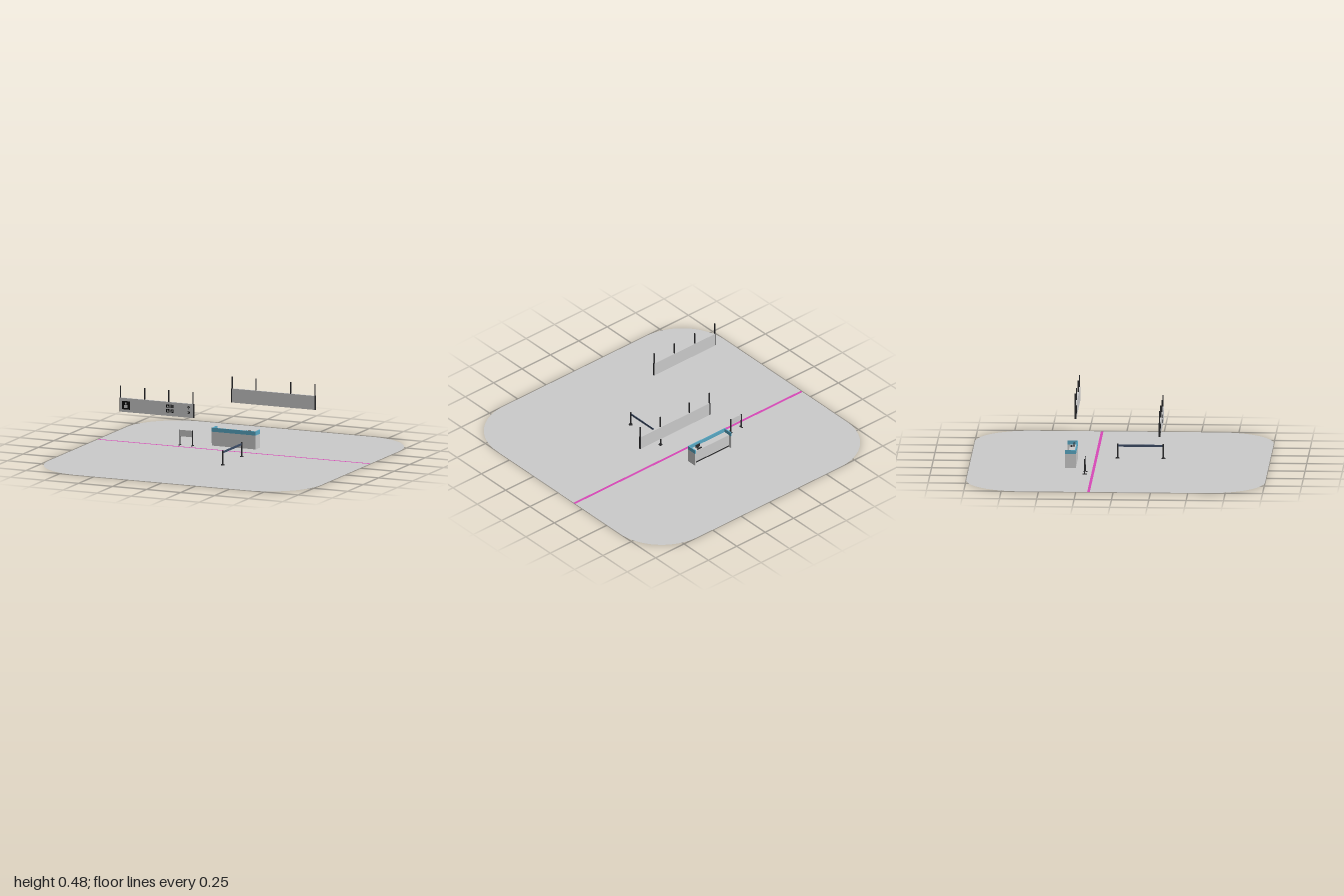
import * as THREE from 'three';

const mat = (color) => new THREE.MeshStandardMaterial({ color });
const grey = mat(0xcccccc);
const frontFloor = mat(0xbcbcbc);
const dark = mat(0x2a2a2c);
const black = mat(0x0c0c0c);
const blue = mat(0x58a8c4);
const belt = mat(0x3c4c66);
const pink = mat(0xd848b8);
for (const m of [grey, frontFloor, pink]) m.side = THREE.DoubleSide;

function add(parent, name, geometry, material, x = 0, y = 0, z = 0) {
  const mesh = new THREE.Mesh(geometry, material);
  mesh.name = name;
  mesh.position.set(x, y, z);
  parent.add(mesh);
  return mesh;
}

// Box given by its minimum and maximum on each axis
function box(parent, name, material, [x0, x1], [y0, y1], [z0, z1]) {
  return add(parent, name, new THREE.BoxGeometry(x1 - x0, y1 - y0, z1 - z0), material,
    (x0 + x1) / 2, (y0 + y1) / 2, (z0 + z1) / 2);
}

function group(parent, name) {
  const g = new THREE.Group();
  g.name = name;
  parent.add(g);
  return g;
}

// Half of the floor: straight along the line, rounded at the two outer corners
function floorHalf(parent, name, material, edge, dir) {
  const r = 0.37;
  const s = new THREE.Shape();
  s.moveTo(-1, edge);
  s.lineTo(-1, dir * (1 - r));
  s.absarc(-1 + r, dir * (1 - r), r, Math.PI, dir * Math.PI / 2, dir > 0);
  s.lineTo(1 - r, dir);
  s.absarc(1 - r, dir * (1 - r), r, dir * Math.PI / 2, 0, dir > 0);
  s.lineTo(1, edge);
  add(parent, name, new THREE.ShapeGeometry(s, 24).rotateX(-Math.PI / 2), material);
}

// Overhead panel hung from thin rods
function hangingSign(parent, name, x0, x1, z, rods) {
  const g = group(parent, name);
  box(g, 'signPanel', grey, [x0, x1], [0.305, 0.4], [z - 0.006, z + 0.006]);
  for (const x of rods) box(g, 'hangingRod', dark, [x - 0.003, x + 0.003], [0.4, 0.48], [z - 0.004, z + 0.004]);
  for (const x of [x0, x1]) box(g, 'endTrim', dark, [x - 0.003, x + 0.003], [0.305, 0.4], [z - 0.0065, z + 0.0065]);
  return g;
}

function arrow(parent, x, y, z, angle) {
  const s = new THREE.Shape();
  [[-0.002, -0.012], [0.002, -0.012], [0.002, 0.004], [0.009, -0.002], [0.011, 0.002],
    [0, 0.012], [-0.011, 0.002], [-0.009, -0.002], [-0.002, 0.004]]
    .forEach(([a, b], i) => (i ? s.lineTo(a, b) : s.moveTo(a, b)));
  add(parent, 'arrow', new THREE.ShapeGeometry(s), black, x, y, z).rotation.z = angle;
}

export function createModel() {
  const model = new THREE.Group();
  model.name = 'checkpointHall';

  // Floor in two zones with a coloured line between them
  floorHalf(model, 'backFloor', grey, 0.174, 1);
  floorHalf(model, 'frontFloor', frontFloor, 0.156, -1);
  add(model, 'floorLine', new THREE.PlaneGeometry(2, 0.018).rotateX(-Math.PI / 2), pink, 0, 0, -0.165);

  // Front hanging sign with pictograms and arrows
  const signA = hangingSign(model, 'frontHangingSign', -0.63, -0.09, 0.293, [-0.627, -0.45, -0.272, -0.094]);
  const zA = 0.3;
  box(signA, 'pictogramPlate', black, [-0.613, -0.556], [0.323, 0.38], [0.298, 0.2996]);
  add(signA, 'pictogramHead', new THREE.CircleGeometry(0.007, 20), grey, -0.585, 0.364, zA);
  add(signA, 'pictogramBody', new THREE.PlaneGeometry(0.024, 0.02), grey, -0.585, 0.343, zA);
  for (const y of [0.34, 0.372]) {
    for (const x of [-0.277, -0.245]) {
      box(signA, 'smallPictogram', black, [x - 0.011, x + 0.011], [y - 0.011, y + 0.011], [0.298, 0.2996]);
      add(signA, 'smallHead', new THREE.CircleGeometry(0.003, 12), grey, x, y + 0.005, zA);
      add(signA, 'smallBody', new THREE.PlaneGeometry(0.008, 0.008), grey, x, y - 0.003, zA);
    }
  }
  arrow(signA, -0.123, 0.374, zA, 0);
  arrow(signA, -0.123, 0.338, zA, -Math.PI / 4);

  // Rear hanging sign with a divider
  const signB = hangingSign(model, 'rearHangingSign', -0.076, 0.536, -0.296, [-0.074, 0.1, 0.355, 0.534]);
  box(signB, 'divider', black, [0.01, 0.013], [0.325, 0.38], [-0.291, -0.2893]);

  // Service desk with end walls and a blue top band
  const desk = group(model, 'serviceDesk');
  box(desk, 'deskBody', grey, [-0.212, 0.095], [0.012, 0.096], [-0.338, -0.29]);
  box(desk, 'plinth', dark, [-0.212, 0.095], [0, 0.012], [-0.336, -0.293]);
  box(desk, 'frontPanel', grey, [-0.22, 0.103], [0.018, 0.095], [-0.292, -0.285]);
  box(desk, 'kickPlate', grey, [-0.22, 0.103], [0, 0.018], [-0.292, -0.286]);
  box(desk, 'frontBand', blue, [-0.22, 0.103], [0.095, 0.122], [-0.292, -0.285]);
  for (const [x0, x1] of [[-0.22, -0.212], [0.095, 0.103]]) {
    box(desk, 'endPanel', grey, [x0, x1], [0, 0.095], [-0.357, -0.292]);
    box(desk, 'endBand', blue, [x0, x1], [0.095, 0.122], [-0.357, -0.292]);
  }
  box(desk, 'screen', dark, [0.02, 0.058], [0.1, 0.12], [-0.312, -0.308]);
  box(desk, 'screenBase', dark, [0.03, 0.048], [0.096, 0.1], [-0.316, -0.304]);
  box(desk, 'keyboard', dark, [0.02, 0.058], [0.096, 0.099], [-0.333, -0.32]);

  // Small standing sign on two legs
  const stand = group(model, 'standingSign');
  box(stand, 'board', grey, [-0.422, -0.332], [0.06, 0.104], [-0.219, -0.215]);
  for (const x of [-0.423, -0.331]) {
    box(stand, 'leg', dark, [x - 0.003, x + 0.003], [0, 0.106], [-0.22, -0.214]);
    box(stand, 'foot', dark, [x - 0.004, x + 0.004], [0, 0.004], [-0.232, -0.202]);
  }

  // Queue barrier: two posts joined by a belt
  const barrier = group(model, 'queueBarrier');
  for (const z of [-0.022, 0.285]) {
    add(barrier, 'postBase', new THREE.CylinderGeometry(0.012, 0.013, 0.005, 24), dark, 0.12, 0.0025, z);
    add(barrier, 'post', new THREE.CylinderGeometry(0.005, 0.005, 0.1, 16), dark, 0.12, 0.05, z);
  }
  box(barrier, 'belt', belt, [0.1185, 0.1215], [0.079, 0.094], [-0.022, 0.285]);

  return model;
}
